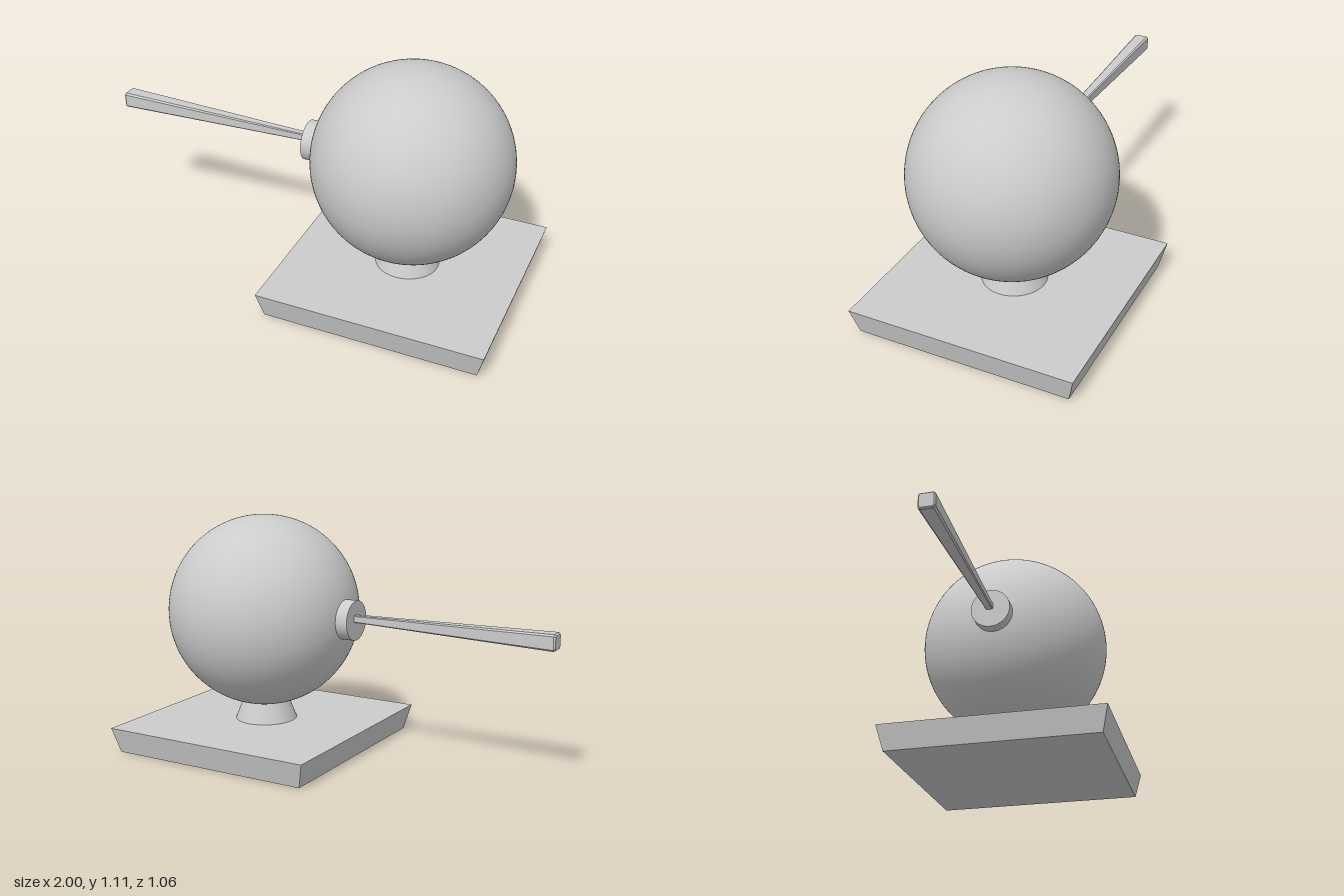
import * as THREE from 'three';

const smooth = new THREE.MeshStandardMaterial({ color: 0xcccccc });
const flat = new THREE.MeshStandardMaterial({ color: 0xcccccc, flatShading: true });

export function createModel() {
  const model = new THREE.Group();
  const add = (name, geometry, material, x, y, z = 0) => {
    const mesh = new THREE.Mesh(geometry, material);
    mesh.name = name;
    mesh.position.set(x, y, z);
    model.add(mesh);
    return mesh;
  };
  const centre = 0.47;

  // Square plinth, wider at the top
  const plinth = new THREE.CylinderGeometry(0.53 * Math.SQRT2, 0.5 * Math.SQRT2, 0.12, 4);
  plinth.rotateY(Math.PI / 4);
  add('base', plinth, flat, centre, 0.06);

  // Tapered neck running up into the ball
  add('neck', new THREE.CylinderGeometry(0.105, 0.148, 0.11, 64), smooth, centre, 0.175);

  // Ball
  add('ball', new THREE.SphereGeometry(0.456, 96, 64), smooth, centre, 0.655);

  // Round collar where the handle meets the ball
  const collar = new THREE.CylinderGeometry(0.093, 0.093, 0.095, 64);
  collar.rotateZ(Math.PI / 2);
  add('collar', collar, smooth, 0.013, 0.652);

  // Handle: chamfered square bar, thicker and bevelled at its outer end
  const c = 0.78;
  const section = new THREE.Shape(
    [[1, -c], [1, c], [c, 1], [-c, 1], [-1, c], [-1, -c], [-c, -1], [c, -1]]
      .map(([x, y]) => new THREE.Vector2(x, y)));
  const handle = new THREE.ExtrudeGeometry(section, { depth: 2, steps: 2, bevelEnabled: false });
  const stations = [[0.01, 0.016], [0.993, 0.037], [1, 0.031]]; // distance out, half width
  const p = handle.attributes.position;
  for (let i = 0; i < p.count; i++) {
    const [out, half] = stations[Math.round(p.getZ(i))];
    p.setXYZ(i, p.getX(i) * half, p.getY(i) * half, out);
  }
  handle.rotateY(-Math.PI / 2);
  handle.computeVertexNormals();
  add('handle', handle, flat, 0, 0.662, -0.004);

  return model;
}
